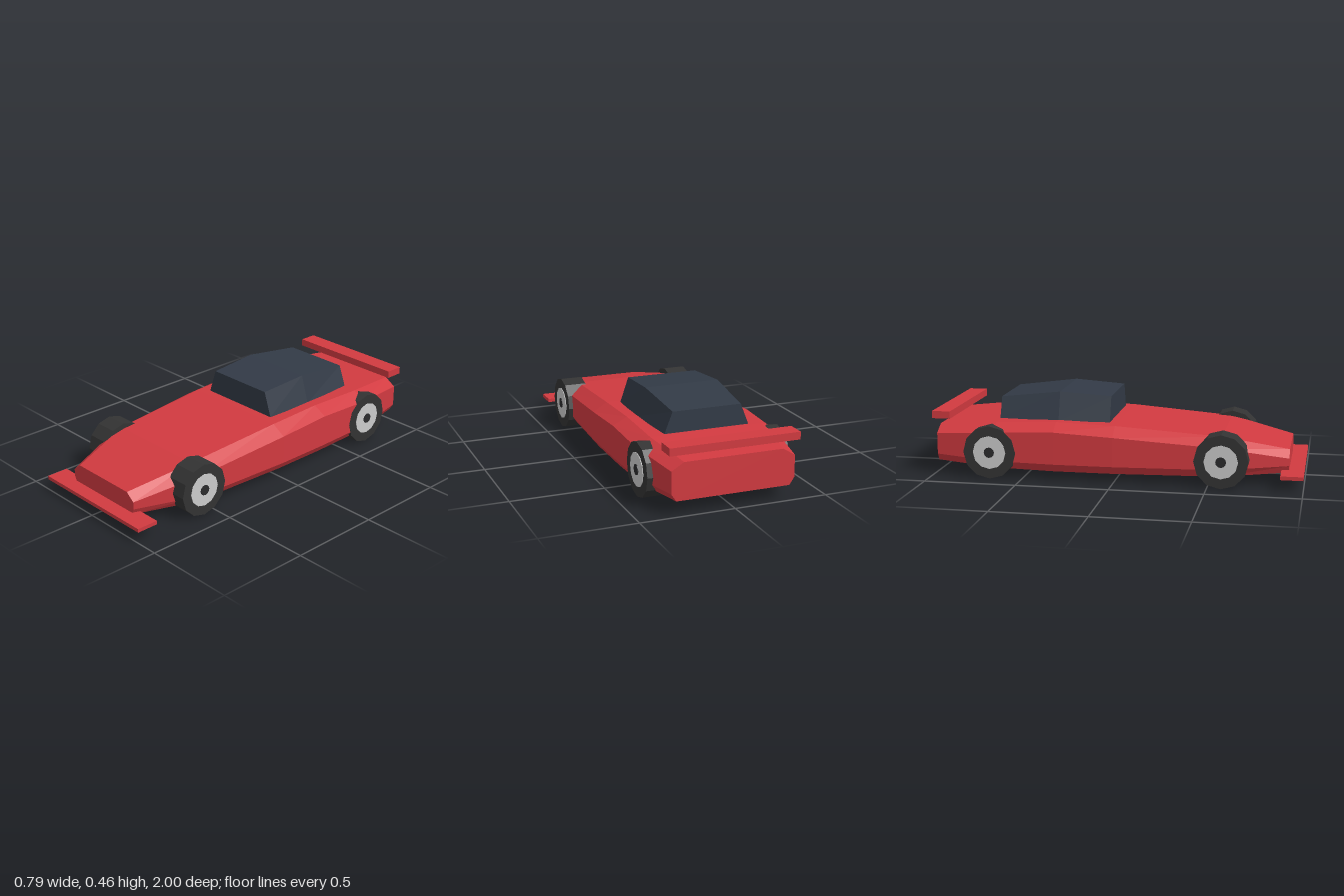
import * as THREE from 'three';

const paint = (color) => new THREE.MeshStandardMaterial({ color, flatShading: true });

// Skins a list of cross-sections running front to back and caps both ends.
// Each section is { z, ring }, the ring counter-clockwise when seen from the front.
function loft(sections) {
  const pos = [];
  const rows = sections.map(({ z, ring }) => ring.map(([x, y]) => [x, y, z]));
  const tri = (a, b, c) => pos.push(...a, ...b, ...c);
  const n = rows[0].length;
  for (let s = 0; s < rows.length - 1; s++) {
    const f = rows[s], b = rows[s + 1];
    for (let i = 0; i < n; i++) {
      const j = (i + 1) % n;
      tri(f[i], b[i], b[j]);
      tri(f[i], b[j], f[j]);
    }
  }
  const front = rows[0], back = rows[rows.length - 1];
  for (let i = 1; i < n - 1; i++) {
    tri(front[0], front[i], front[i + 1]);
    tri(back[0], back[i + 1], back[i]);
  }
  const geo = new THREE.BufferGeometry();
  geo.setAttribute('position', new THREE.Float32BufferAttribute(pos, 3));
  geo.computeVertexNormals();
  return geo;
}

// Completes a right-hand outline (bottom to top) into a symmetric ring.
const mirrored = (half) => [...half, ...half.map(([x, y]) => [-x, y]).reverse()];

export function createModel() {
  const car = new THREE.Group();
  car.name = 'raceCar';
  const red = paint(0xd13a40), glass = paint(0x323a46);
  const rubber = paint(0x333333), silver = paint(0xcccccc), dark = paint(0x2b2b2d);

  const add = (parent, name, geo, mat, x = 0, y = 0, z = 0) => {
    const mesh = new THREE.Mesh(geo, mat);
    mesh.name = name;
    mesh.position.set(x, y, z);
    parent.add(mesh);
    return mesh;
  };

  // Body: z, half width, bottom, lower edge, shoulder, top
  const body = [
    [0.92, 0.245, 0.066, 0.105, 0.145, 0.185],
    [0.57, 0.357, 0.052, 0.094, 0.21, 0.258],
    [0.0, 0.385, 0.048, 0.092, 0.25, 0.298],
    [-0.32, 0.387, 0.048, 0.092, 0.267, 0.308],
    [-0.65, 0.385, 0.055, 0.097, 0.253, 0.297],
    [-0.98, 0.33, 0.073, 0.112, 0.228, 0.268],
  ].map(([z, w, bottom, low, shoulder, top]) => ({
    z,
    ring: mirrored([[w * 0.92, bottom], [w, low], [w, shoulder], [w * 0.8, top]]),
  }));
  add(car, 'body', loft(body), red);

  // Canopy: z, half width at base, half width at roof, roof height
  const canopy = [
    [-0.04, 0.243, 0.197, 0.437],
    [-0.32, 0.254, 0.206, 0.455],
    [-0.65, 0.232, 0.188, 0.415],
  ].map(([z, base, roof, top]) => ({ z, ring: mirrored([[base, 0.303], [roof, top]]) }));
  add(car, 'canopy', loft(canopy), glass);

  // Wings
  add(car, 'frontWing', new THREE.BoxGeometry(0.756, 0.02, 0.12), red, 0, 0.071, 0.94);
  add(car, 'rearWing', new THREE.BoxGeometry(0.694, 0.04, 0.1), red, 0, 0.332, -0.95);

  // Wheels: tyre, disc and hub, each a little further out
  const disc = (r, width) => new THREE.CylinderGeometry(r, r, width, 12).rotateZ(Math.PI / 2);
  const tyre = disc(0.144, 0.124), rim = disc(0.09, 0.02), hub = disc(0.028, 0.02);
  for (const [end, z] of [['front', 0.573], ['rear', -0.672]]) {
    for (const [sideName, side] of [['Left', 1], ['Right', -1]]) {
      const wheel = new THREE.Group();
      wheel.name = `${end}${sideName}Wheel`;
      wheel.position.set(side * 0.326, 0.144, z);
      add(wheel, 'tyre', tyre, rubber);
      add(wheel, 'rim', rim, silver, side * 0.055);
      add(wheel, 'hub', hub, dark, side * 0.059);
      car.add(wheel);
    }
  }
  return car;
}
